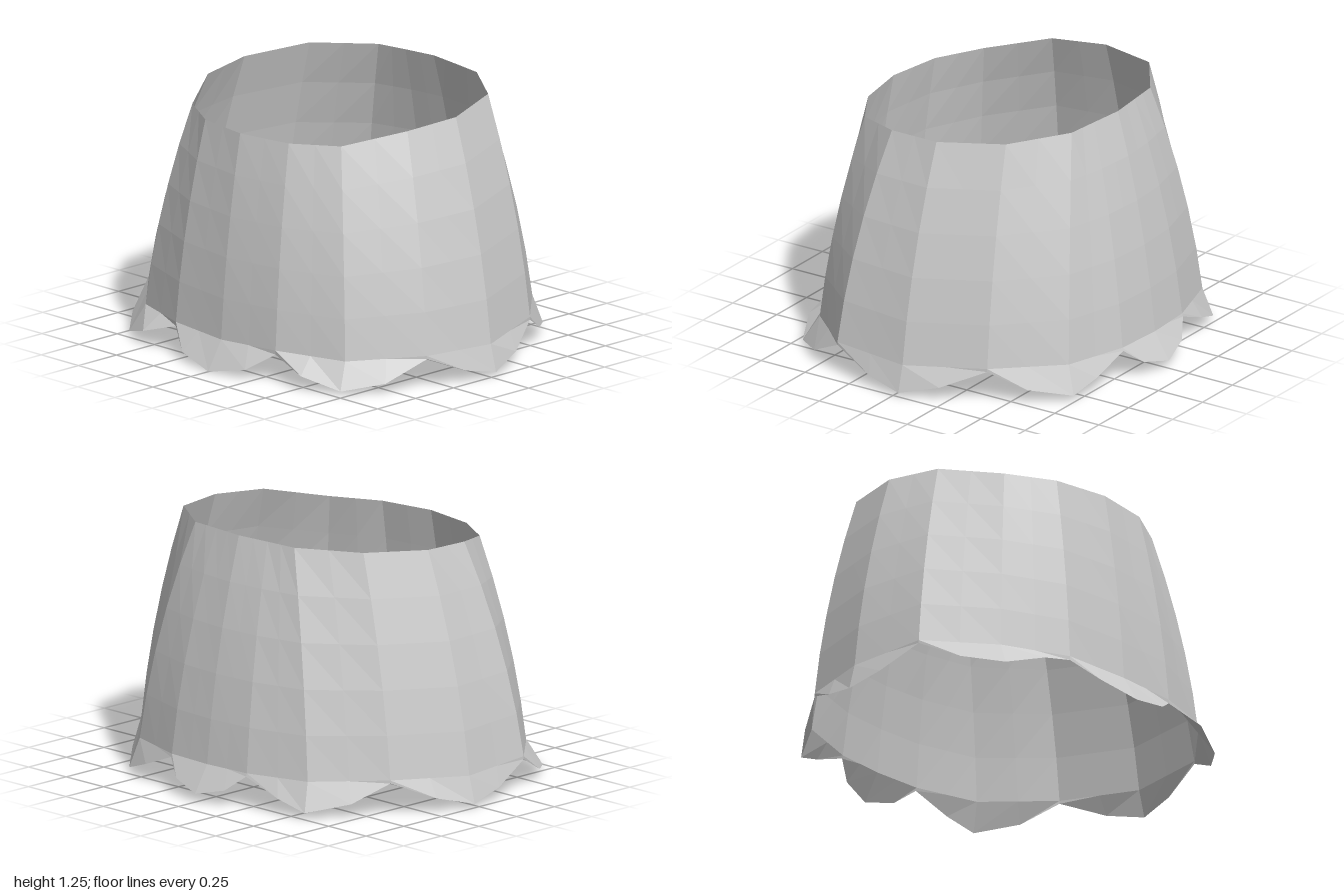
import * as THREE from 'three';

// Half outlines, running from the centre front round the left side to the centre back.
const waist = [
  [0, 1.125, 0.675], [0.28, 1.125, 0.63], [0.5, 1.13, 0.5], [0.67, 1.185, 0.23], [0.71, 1.205, -0.05],
  [0.6, 1.23, -0.37], [0.33, 1.24, -0.56], [0.17, 1.243, -0.58], [0, 1.245, -0.6],
];
const hemLine = [
  [0, 0.14, 0.8], [0.335, 0.15, 0.77], [0.67, 0.14, 0.64], [0.935, 0.165, 0.36], [0.965, 0.15, -0.03],
  [0.83, 0.175, -0.42], [0.56, 0.17, -0.7], [0.25, 0.17, -0.795], [0, 0.17, -0.81],
];
// Scalloped edge: tip, curve, valley, curve, tip ...
const scallops = [
  [0, 0, 0.885], [0.21, 0.045, 0.85], [0.335, 0.13, 0.77], [0.53, 0.07, 0.795], [0.71, 0.015, 0.71],
  [0.85, 0.05, 0.55], [0.935, 0.15, 0.36], [0.98, 0.06, 0.15], [1, 0.02, -0.03], [0.94, 0.07, -0.22],
  [0.83, 0.16, -0.42], [0.73, 0.07, -0.58], [0.585, 0.03, -0.745], [0.44, 0.08, -0.78],
  [0.25, 0.155, -0.8], [0.16, 0.08, -0.855], [0, 0.04, -0.89],
];

// Adds a midpoint between neighbouring points
function subdivide(points) {
  return points.flatMap((p, i) => (i ? [p.map((v, k) => (v + points[i - 1][k]) / 2), p] : [p]));
}

// Completes a half outline into a closed ring
function mirror(half) {
  return [...half, ...half.slice(1, -1).reverse().map(([x, y, z]) => [-x, y, z])];
}

// Joins rings, listed from top to bottom, into a faceted open shell
function loft(rings) {
  const positions = [];
  for (let r = 0; r < rings.length - 1; r++) {
    const top = rings[r], low = rings[r + 1], n = top.length;
    for (let i = 0; i < n; i++) {
      const j = (i + 1) % n;
      positions.push(...top[i], ...low[i], ...low[j], ...top[i], ...low[j], ...top[j]);
    }
  }
  const geometry = new THREE.BufferGeometry();
  geometry.setAttribute('position', new THREE.Float32BufferAttribute(positions, 3));
  geometry.computeVertexNormals();
  return geometry;
}

export function createModel() {
  const group = new THREE.Group();
  group.name = 'skirt';
  const cloth = new THREE.MeshStandardMaterial({ color: 0xcccccc, flatShading: true, side: THREE.DoubleSide });
  cloth.name = 'grey cloth';

  const top = mirror(subdivide(waist));
  const bottom = mirror(subdivide(hemLine));

  // Body, bulging outwards on the way down
  const levels = [0, 0.2, 0.4, 0.6, 0.8, 1];
  const rings = levels.map((t) => {
    const s = t * (1 + 0.5 * (1 - t));
    return top.map((p, i) => p.map((v, k) => v + (bottom[i][k] - v) * (k === 1 ? t : s)));
  });
  const body = new THREE.Mesh(loft(rings), cloth);
  body.name = 'skirtBody';

  // Flared scalloped hem
  const hem = new THREE.Mesh(loft([bottom, mirror(scallops)]), cloth);
  hem.name = 'scallopedHem';

  group.add(body, hem);
  return group;
}
